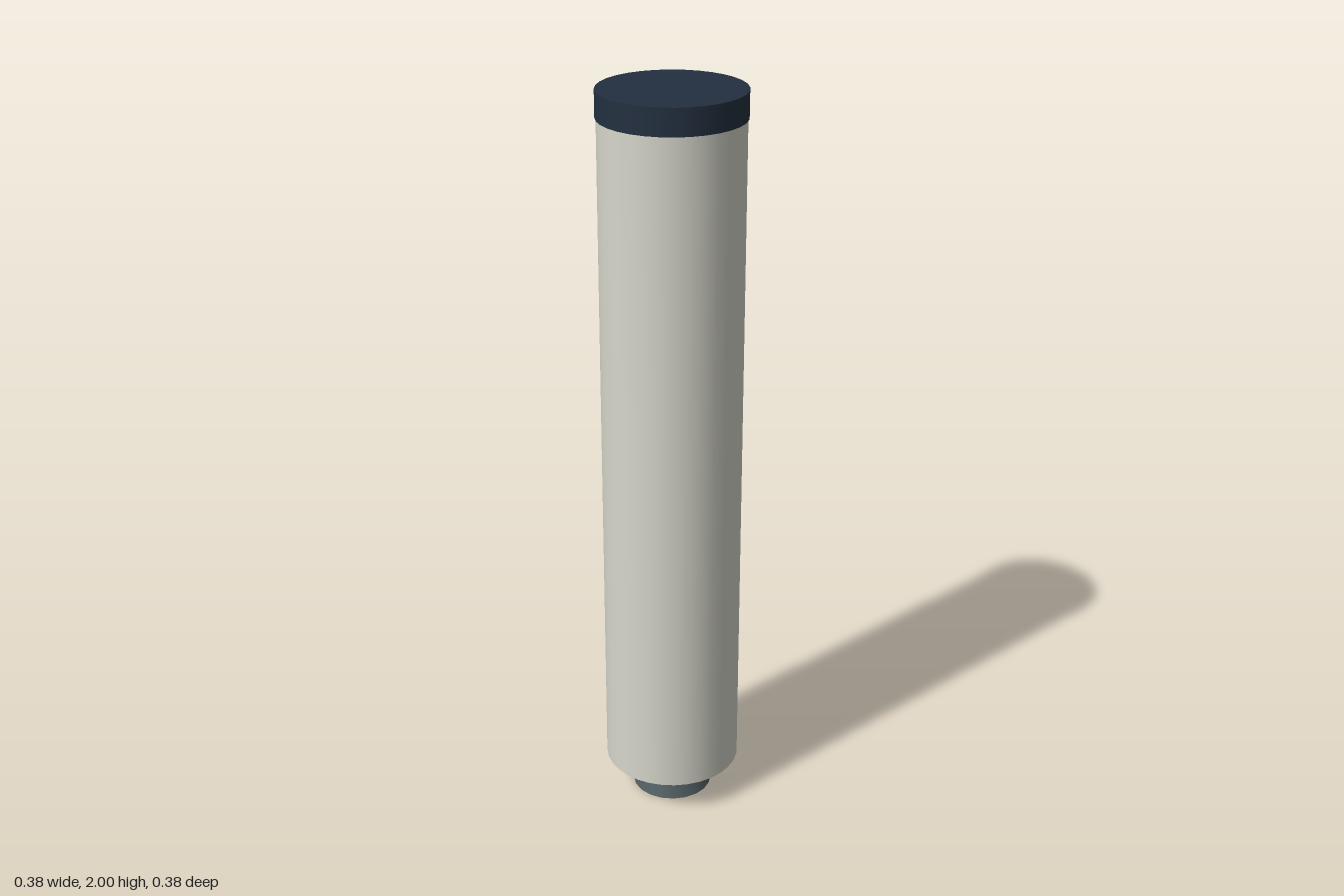
import * as THREE from 'three';

function material(name, color) {
  const m = new THREE.MeshStandardMaterial({ color });
  m.name = name;
  return m;
}

export function createModel() {
  const group = new THREE.Group();
  group.name = 'boosterStage';

  const ivory = material('ivory', 0xd6d6cb);
  const navy = material('navy', 0x233040);
  const slate = material('slate', 0x4f5c60);

  // Upright cylinder or cone spanning bottom..top
  function addTube(name, mat, rTop, rBottom, bottom, top, sides) {
    const geometry = new THREE.CylinderGeometry(rTop, rBottom, top - bottom, sides);
    const mesh = new THREE.Mesh(geometry, mat);
    mesh.name = name;
    mesh.position.y = (bottom + top) / 2;
    group.add(mesh);
  }

  // Long tank, slightly wider top band, flared engine bell
  addTube('tank', ivory, 0.185, 0.185, 0.1, 1.93, 32);
  addTube('topBand', navy, 0.188, 0.188, 1.93, 2, 32);
  addTube('nozzle', slate, 0.074, 0.11, 0, 0.1, 20);

  return group;
}
